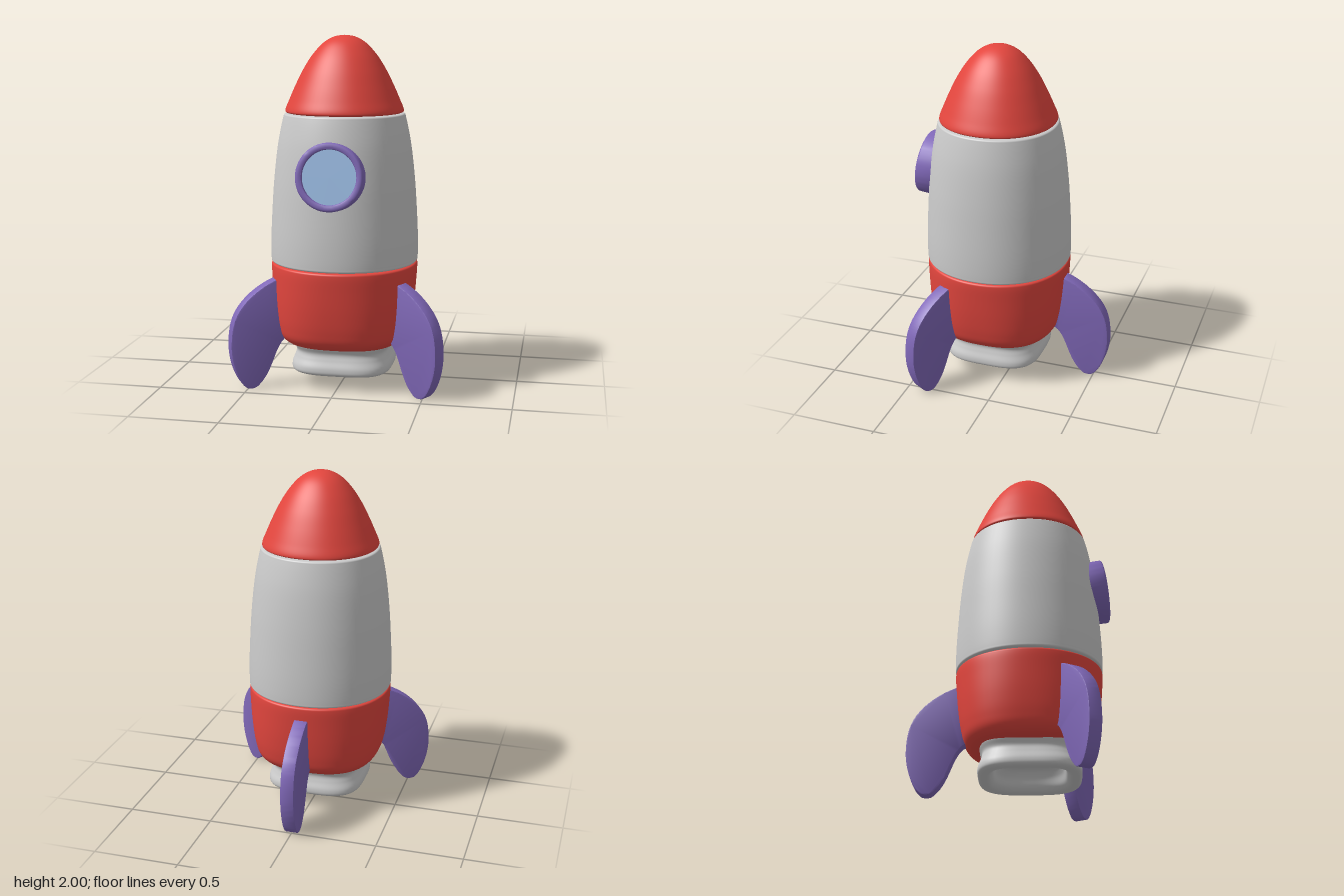
import * as THREE from 'three';
import { mergeVertices, toCreasedNormals } from 'three/addons/utils/BufferGeometryUtils.js';

const AXIS_Z = 0.105; // the hull stands slightly forward of the origin

const paint = (color) => new THREE.MeshStandardMaterial({ color });
const grey = paint(0xcccccc);
const red = paint(0xe3463e);
const purple = paint(0x8068b8);
const blue = paint(0x9dbfe8);

const smoothCurve = (pts) =>
  new THREE.CatmullRomCurve3(pts.map(([r, y]) => new THREE.Vector3(r, y, 0)), false, 'centripetal');

// Turned shell whose round section is squared off by a superellipse exponent
function hull(name, profile, material, exponentAt) {
  const pts = smoothCurve(profile).getPoints(profile.length * 6)
    .map((p) => new THREE.Vector2(Math.max(p.x, 0), p.y));
  let geo = new THREE.LatheGeometry(pts, 72);
  const pos = geo.attributes.position;
  for (let i = 0; i < pos.count; i++) {
    const x = pos.getX(i), z = pos.getZ(i), r = Math.hypot(x, z);
    if (r < 1e-6) continue;
    const n = exponentAt(pos.getY(i));
    const k = Math.pow(Math.pow(Math.abs(x / r), n) + Math.pow(Math.abs(z / r), n), -1 / n);
    pos.setX(i, x * k);
    pos.setZ(i, z * k);
  }
  geo.deleteAttribute('uv');
  geo.deleteAttribute('normal');
  geo = mergeVertices(geo, 1e-5);
  geo.computeVertexNormals();
  const mesh = new THREE.Mesh(geo, material);
  mesh.name = name;
  return mesh;
}

// Swept fin in the radial plane, its length along +x
function finGeometry() {
  const s = new THREE.Shape();
  s.moveTo(0.34, 0.29);
  s.lineTo(0.365, 0.29);
  s.bezierCurveTo(0.44, 0.24, 0.44, 0.1, 0.53, 0.02);
  s.bezierCurveTo(0.55, 0.0, 0.575, 0.0, 0.6, 0.008);
  s.bezierCurveTo(0.65, 0.04, 0.69, 0.16, 0.69, 0.25);
  s.bezierCurveTo(0.69, 0.36, 0.67, 0.43, 0.62, 0.49);
  s.bezierCurveTo(0.57, 0.55, 0.5, 0.6, 0.415, 0.632);
  s.lineTo(0.385, 0.632);
  const geo = new THREE.ExtrudeGeometry(s, {
    depth: 0.068, curveSegments: 14, bevelEnabled: true,
    bevelSize: 0.006, bevelThickness: 0.006, bevelOffset: -0.006, bevelSegments: 2,
  });
  geo.translate(0, 0, -0.034);
  return toCreasedNormals(geo, 0.6);
}

// Round window: raised rim with a recessed pane, facing +z
function porthole() {
  const g = new THREE.Group();
  g.name = 'porthole';
  const rim = [[0.15, -0.13], [0.185, -0.13], [0.187, -0.01], [0.183, -0.003], [0.176, 0],
    [0.16, 0], [0.153, -0.003], [0.15, -0.01], [0.15, -0.13]];
  const rimGeo = toCreasedNormals(
    new THREE.LatheGeometry(rim.map(([r, y]) => new THREE.Vector2(r, y)), 56), 0.7);
  const ring = new THREE.Mesh(rimGeo.rotateX(Math.PI / 2), purple);
  ring.name = 'portholeRim';
  const pane = new THREE.Mesh(new THREE.CircleGeometry(0.152, 56), blue);
  pane.name = 'portholeGlass';
  pane.position.z = -0.018;
  g.add(ring, pane);
  g.position.set(0, 1.252, 0.558 - AXIS_Z);
  g.rotation.x = -0.135;
  return g;
}

export function createModel() {
  const rocket = new THREE.Group();
  rocket.name = 'rocket';
  rocket.position.z = AXIS_Z;
  const nearRound = () => 2.1;

  // Hull sections, from nozzle to nose
  rocket.add(
    hull('nozzle', [[0, 0.215], [0.15, 0.21], [0.185, 0.17], [0.205, 0.115], [0.23, 0.09], [0.265, 0.086],
      [0.286, 0.1], [0.288, 0.13], [0.272, 0.175], [0.264, 0.21], [0.28, 0.25], [0.28, 0.28]],
      grey, () => 3.4),
    hull('lowerHull', [[0, 0.236], [0.15, 0.236], [0.26, 0.24], [0.325, 0.257], [0.362, 0.295], [0.382, 0.36],
      [0.4, 0.47], [0.413, 0.6], [0.419, 0.69], [0.417, 0.706], [0.405, 0.713], [0.3, 0.714]],
      red, (y) => 2.1 + 0.5 * THREE.MathUtils.clamp((0.7 - y) / 0.45, 0, 1)),
    hull('middleHull', [[0.3, 0.717], [0.408, 0.717], [0.419, 0.723], [0.421, 0.74], [0.421, 0.85],
      [0.413, 1.02], [0.4, 1.2], [0.376, 1.4], [0.346, 1.545], [0.342, 1.557], [0.332, 1.562], [0.2, 1.563]],
      grey, nearRound),
    hull('noseCone', [[0.2, 1.566], [0.322, 1.566], [0.334, 1.572], [0.334, 1.585], [0.312, 1.64],
      [0.277, 1.72], [0.232, 1.81], [0.177, 1.895], [0.115, 1.96], [0.055, 1.992], [0, 2]],
      red, nearRound),
  );

  rocket.add(porthole());

  // Three fins, one at the back and two swept forward
  const finGeo = finGeometry();
  const fins = { backFin: Math.PI / 2, leftFin: -Math.PI / 6, rightFin: Math.PI * 7 / 6 };
  for (const [name, angle] of Object.entries(fins)) {
    const fin = new THREE.Mesh(finGeo, purple);
    fin.name = name;
    fin.rotation.y = angle;
    rocket.add(fin);
  }

  const model = new THREE.Group();
  model.add(rocket);
  return model;
}
